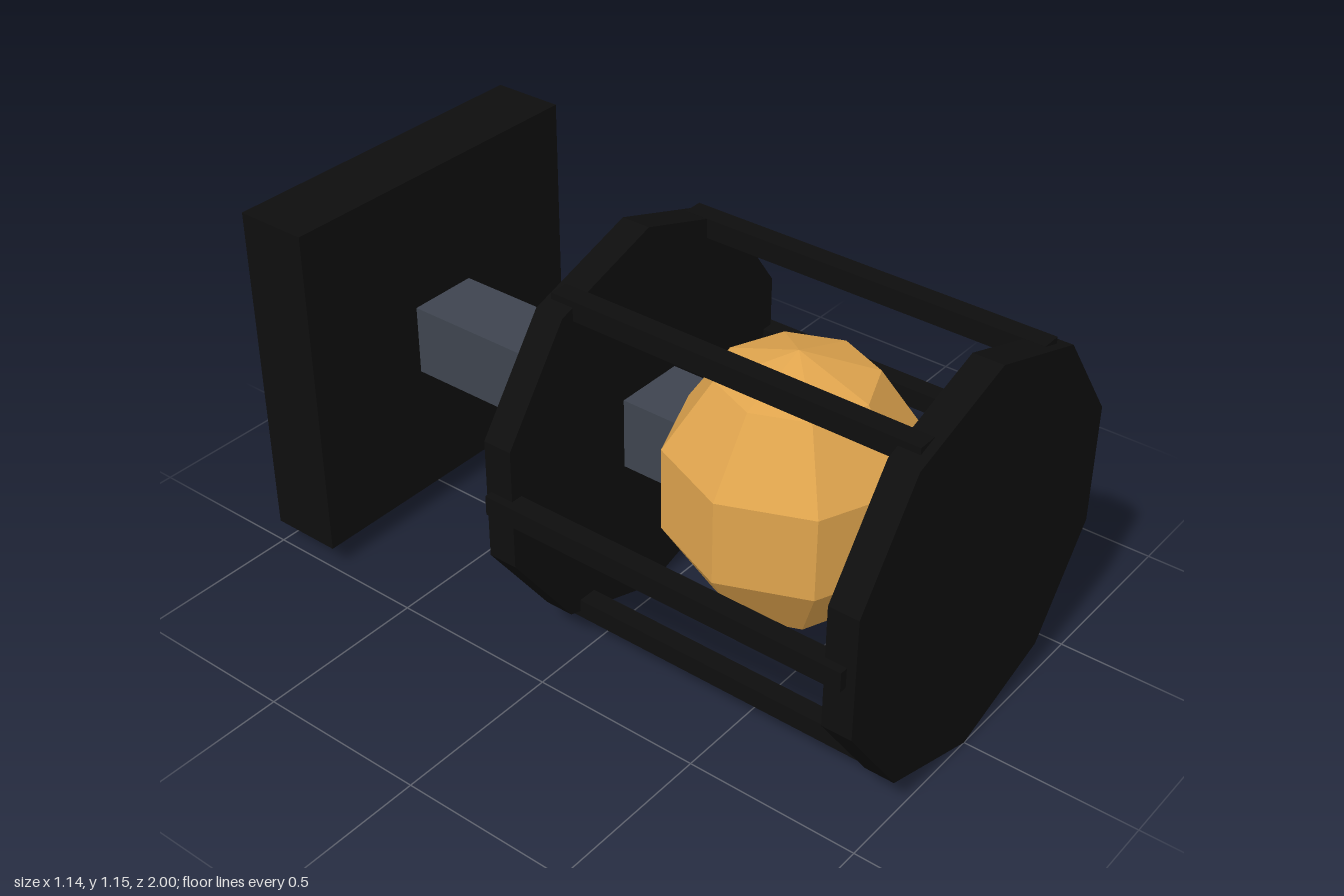
import * as THREE from 'three';

export function createModel() {
  const model = new THREE.Group();
  model.name = 'wallLantern';

  const mat = (name, color) => {
    const m = new THREE.MeshStandardMaterial({ color, flatShading: true });
    m.name = name;
    return m;
  };
  const black = mat('black iron', 0x0e0e0e);
  const slate = mat('slate grey', 0x3e444f);
  const amber = mat('amber glass', 0xe0a54e);

  const add = (name, geometry, material, x, y, z) => {
    const mesh = new THREE.Mesh(geometry, material);
    mesh.name = name;
    mesh.position.set(x, y, z);
    model.add(mesh);
    return mesh;
  };

  const midY = 0.577;

  // Square wall plate and the arm that carries the lantern
  add('wallPlate', new THREE.BoxGeometry(1.005, 1.005, 0.215), black, 0, midY, -0.8925);
  add('arm', new THREE.BoxGeometry(0.214, 0.21, 1.0), slate, 0, 0.579, -0.3);

  // Ten-sided end discs, one corner pointing up
  const disc = new THREE.CylinderGeometry(0.574, 0.574, 0.085, 10).rotateX(Math.PI / 2);
  add('frontDisc', disc, black, 0, midY, 0.9575);
  add('backDisc', disc, black, 0, midY, -0.0775);

  // Six cage bars in a ring between the discs
  const bar = new THREE.BoxGeometry(0.057, 0.057, 1.08);
  for (let i = 0; i < 6; i++) {
    const a = (i * Math.PI) / 3;
    add('cageBar' + (i + 1), bar, black, 0.54 * Math.cos(a), midY + 0.54 * Math.sin(a), 0.435);
  }

  // Faceted globe, slightly taller than wide
  const globe = add('globe', new THREE.SphereGeometry(0.358, 8, 5), amber, 0, 0.578, 0.437);
  globe.scale.y = 1.1;

  return model;
}
